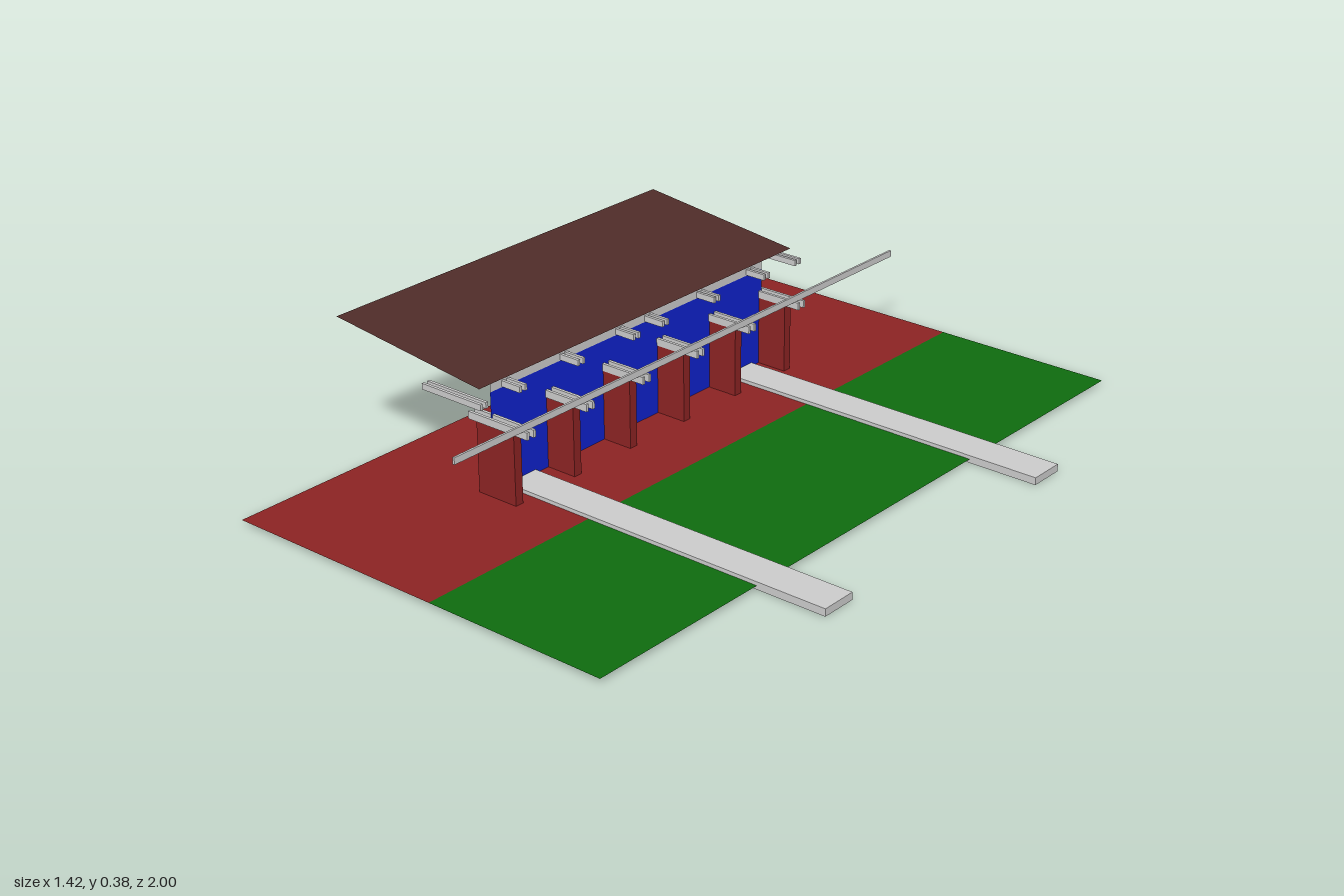
import * as THREE from 'three';

const mat = (color) => new THREE.MeshStandardMaterial({ color, side: THREE.DoubleSide });

export function createModel() {
  const model = new THREE.Group();
  const grey = mat(0xcccccc), red = mat(0x8b2323), green = mat(0x0f6b0f);
  const blue = mat(0x0f22cc), brown = mat(0x4f2c29), bronze = mat(0x6b4423);

  const add = (name, geometry, material, x, y, z, parent = model) => {
    const mesh = new THREE.Mesh(geometry, material);
    mesh.name = name;
    mesh.position.set(x, y, z);
    parent.add(mesh);
    return mesh;
  };
  // box given by its lower and upper limits
  const box = (name, material, [x0, x1], [y0, y1], [z0, z1]) =>
    add(name, new THREE.BoxGeometry(x1 - x0, y1 - y0, z1 - z0), material,
      (x0 + x1) / 2, (y0 + y1) / 2, (z0 + z1) / 2);
  // upright sheet facing +x
  const sheet = (name, material, x, [y0, y1], length) => {
    const g = new THREE.PlaneGeometry(length, y1 - y0).rotateY(Math.PI / 2);
    add(name, g, material, x, (y0 + y1) / 2, 0);
  };

  // ground in two colours
  const ground = (name, material, x0, x1) =>
    add(name, new THREE.PlaneGeometry(x1 - x0, 2).rotateX(-Math.PI / 2), material, (x0 + x1) / 2, 0.01, 0);
  ground('redGround', red, -0.63, 0);
  ground('greenGround', green, 0, 0.515);

  // two long paths crossing the ground
  for (const z of [-0.428, 0.42]) box('path', grey, [-0.28, 0.71], [0, 0.02], [z - 0.05, z + 0.05]);

  // pillars, each carrying a pair of thin bracket boards
  for (let i = 0; i < 6; i++) {
    const z = -0.52 + i * 0.208;
    box('pillar', red, [-0.3, -0.177], [0.01, 0.2], [z - 0.0125, z + 0.0125]);
    for (const d of [-0.011, 0.011])
      box('bracketBoard', grey, [-0.325, -0.13], [0.2, 0.22], [z + d - 0.004, z + d + 0.004]);
  }

  // wall with a pale strip above it
  sheet('wall', blue, -0.265, [0.01, 0.28], 1.035);
  sheet('upperWallStrip', grey, -0.265, [0.28, 0.328], 1.035);

  // paired rafter boards
  for (const c of [0.055, 0.26, 0.465, 0.598])
    for (const side of [-1, 1])
      for (const d of [-0.009, 0.009]) {
        const z = side * c + d;
        box('rafterBoard', grey, [-0.4, -0.205], [0.282, 0.298], [z - 0.004, z + 0.004]);
      }

  // long rail resting on the brackets
  box('rail', grey, [-0.147, -0.141], [0.22, 0.238], [-0.935, 0.765]);

  // sloping roof sheet
  const dx = 0.485, dy = -0.056;
  const roof = add('roof', new THREE.PlaneGeometry(Math.hypot(dx, dy), 1.185).rotateX(-Math.PI / 2),
    brown, -0.4715, 0.352, -0.003);
  roof.rotation.z = Math.atan2(dy, dx);

  // small hanging bell behind the wall
  const bell = new THREE.Group();
  bell.name = 'bell';
  bell.position.set(-0.333, 0, 0);
  model.add(bell);
  const profile = [[0, 0.06], [0.007, 0.058], [0.01, 0.045], [0.014, 0.038], [0.021, 0.03]]
    .map(([r, y]) => new THREE.Vector2(r, y));
  add('bellBody', new THREE.LatheGeometry(profile, 20), bronze, 0, 0, 0, bell);
  add('bellHanger', new THREE.CylinderGeometry(0.003, 0.003, 0.02, 8), grey, 0, 0.068, 0, bell);
  add('bellClapper', new THREE.CylinderGeometry(0.002, 0.002, 0.04, 8), bronze, 0, 0.033, 0, bell);

  return model;
}
